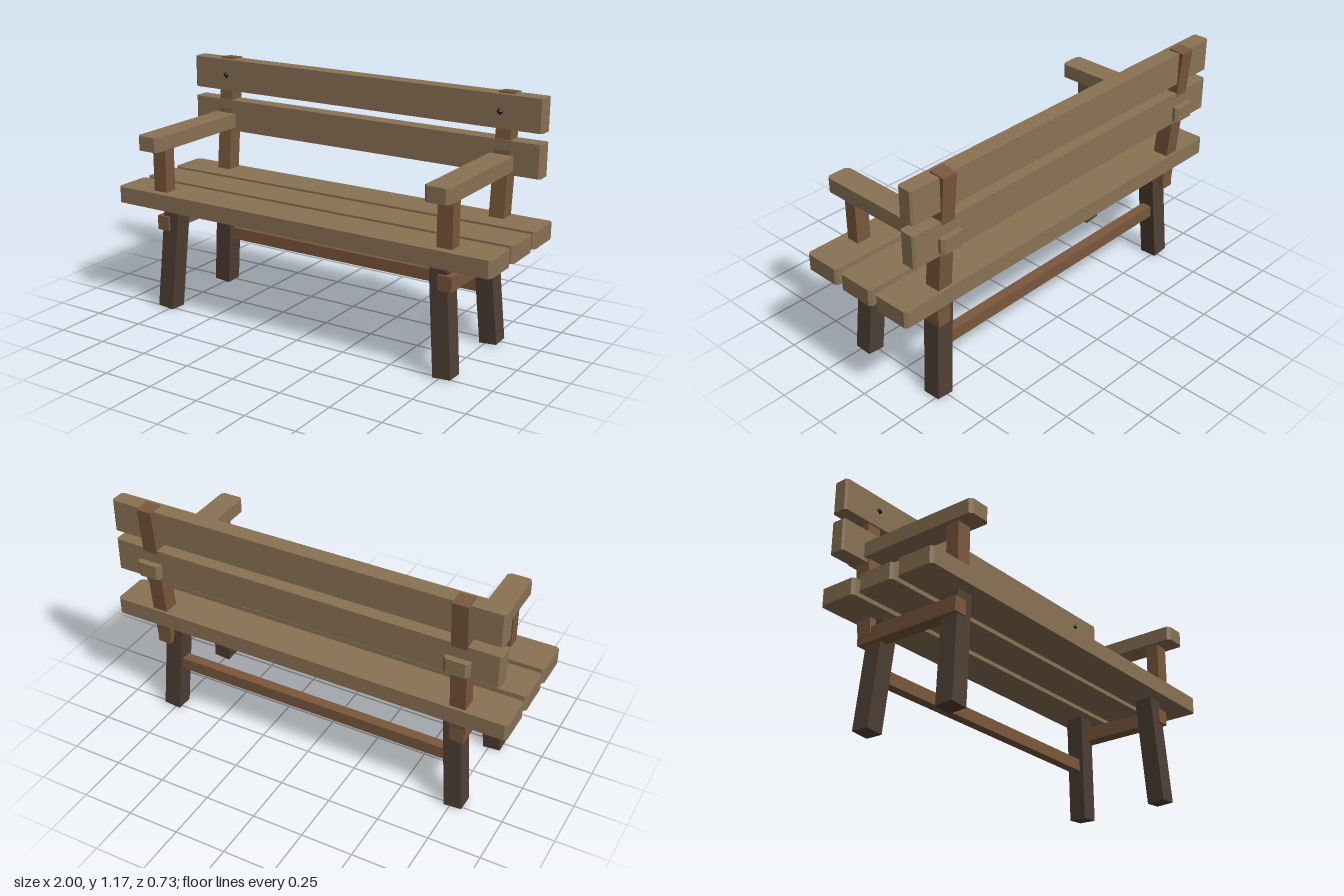
import * as THREE from 'three';

const mat = (color) => new THREE.MeshStandardMaterial({ color, flatShading: true });

export function createModel() {
  const bench = new THREE.Group();
  bench.name = 'bench';
  const plankWood = mat(0x8b7355), frameWood = mat(0x7a583c), legWood = mat(0x4f4034), iron = mat(0x222222);

  const add = (name, geometry, material, x, y, z) => {
    const mesh = new THREE.Mesh(geometry, material);
    mesh.name = name;
    mesh.position.set(x, y, z);
    bench.add(mesh);
    return mesh;
  };

  // Board with its four upright corners cut off, centred on its own origin
  const board = (w, h, d, c) => {
    const a = w / 2, b = d / 2;
    const outline = [[a, b - c], [a - c, b], [c - a, b], [-a, b - c], [-a, c - b], [c - a, -b], [a - c, -b], [a, c - b]];
    const shape = new THREE.Shape(outline.map(([x, y]) => new THREE.Vector2(x, y)));
    return new THREE.ExtrudeGeometry(shape, { depth: h, bevelEnabled: false })
      .translate(0, 0, -h / 2).rotateX(-Math.PI / 2);
  };

  // Square beam between two points
  const up = new THREE.Vector3(0, 1, 0);
  const beam = (name, material, w, d, from, to) => {
    const p = new THREE.Vector3(...from), q = new THREE.Vector3(...to);
    const mid = p.clone().add(q).multiplyScalar(0.5);
    const mesh = add(name, new THREE.BoxGeometry(w, p.distanceTo(q), d), material, mid.x, mid.y, mid.z);
    mesh.quaternion.setFromUnitVectors(up, q.sub(p).normalize());
  };

  // Seat and back boards
  for (const z of [0.221, 0.003, -0.217]) add('seatSlat', board(2, 0.08, 0.192, 0.013), plankWood, 0, 0.565, z);
  for (const y of [0.882, 1.087]) add('backSlat', board(1.91, 0.156, 0.08, 0.01), plankWood, 0, y, -0.291);

  // Brace between the rear legs
  add('stretcher', new THREE.BoxGeometry(1.46, 0.06, 0.05), frameWood, 0, 0.275, -0.22);

  for (const s of [1, -1]) {
    // Splayed legs
    for (const f of [1, -1])
      beam(f > 0 ? 'frontLeg' : 'rearLeg', legWood, 0.086, 0.088,
        [s * 0.767, 0.006, f * 0.23], [s * 0.723, 0.53, f * 0.209]);

    // Side frame
    add('seatRail', new THREE.BoxGeometry(0.066, 0.07, 0.556), frameWood, s * 0.766, 0.443, -0.01);
    beam('backPost', frameWood, 0.074, 0.077, [s * 0.766, 0.44, -0.245], [s * 0.766, 1.171, -0.314]);
    add('armPost', new THREE.BoxGeometry(0.074, 0.27, 0.065), frameWood, s * 0.766, 0.69, 0.246);
    add('armrest', board(0.118, 0.071, 0.727, 0.015), plankWood, s * 0.766, 0.8575, 0.0015);

    // Faceted bolt head on the top back board
    add('bolt', new THREE.OctahedronGeometry(0.018), iron, s * 0.753, 1.088, -0.243).scale.z = 0.56;
  }
  return bench;
}
